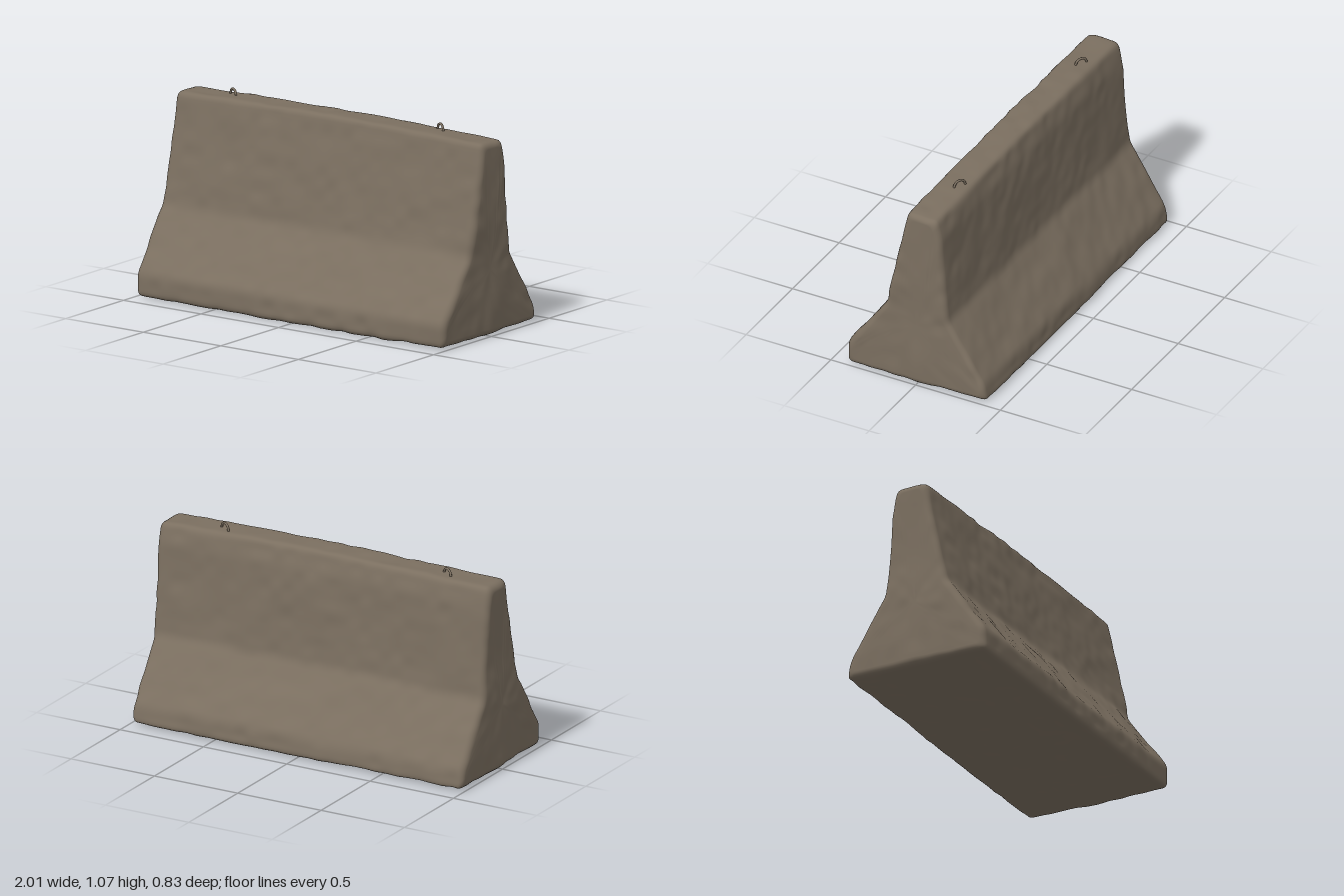
import * as THREE from 'three';
import { mergeVertices } from 'three/addons/utils/BufferGeometryUtils.js';

// Barrier cross-section as [z, y], from the front foot over the top to the back foot
const PROFILE = [
  [0.412, 0.012], [0.408, 0.135], [0.182, 0.46], [0.158, 0.57], [0.062, 1.041],
  [-0.112, 1.041], [-0.14, 0.93], [-0.168, 0.6], [-0.184, 0.44], [-0.395, 0.115], [-0.412, 0.012],
].map(([z, y]) => new THREE.Vector2(z, y));

// Smooth seeded value noise, -1..1
function hash(x, y, z) {
  const s = Math.sin(x * 127.1 + y * 311.7 + z * 74.7) * 43758.5453;
  return (s - Math.floor(s)) * 2 - 1;
}
function noise(x, y, z) {
  const c = [x, y, z].map(Math.floor);
  const f = [x - c[0], y - c[1], z - c[2]].map((t) => t * t * (3 - 2 * t));
  let sum = 0;
  for (let k = 0; k < 8; k++) {
    const b = [k & 1, (k >> 1) & 1, k >> 2];
    const w = b.reduce((p, bit, i) => p * (bit ? f[i] : 1 - f[i]), 1);
    sum += w * hash(c[0] + b[0], c[1] + b[1], c[2] + b[2]);
  }
  return sum;
}

// Profile moved inwards by d, with rounded corners and evenly divided edges
function section(d) {
  const n = PROFILE.length;
  const at = (list, i) => list[(i + n) % n];
  const inward = PROFILE.map((p, i) => {
    const e = at(PROFILE, i + 1).clone().sub(p).normalize();
    return new THREE.Vector2(-e.y, e.x);
  });
  const poly = PROFILE.map((p, i) => {
    const a = at(inward, i - 1), b = inward[i];
    return p.clone().addScaledVector(a.clone().add(b), d / (1 + a.dot(b)));
  });
  const towards = (p, q) => {
    const len = p.distanceTo(q);
    return p.clone().lerp(q, Math.min(0.03, len * 0.4) / len);
  };
  const points = [];
  for (let i = 0; i < n; i++) {
    const p = poly[i], next = at(poly, i + 1);
    const start = towards(p, at(poly, i - 1)), end = towards(p, next);
    points.push(...new THREE.QuadraticBezierCurve(start, p, end).getPoints(4));
    const stop = towards(next, p);
    const steps = Math.ceil(PROFILE[i].distanceTo(at(PROFILE, i + 1)) / 0.03);
    for (let k = 1; k < steps; k++) points.push(end.clone().lerp(stop, k / steps));
  }
  return points;
}

// Closed loft: end cap, rounded end edge, long body, and the same mirrored
function barrierGeometry() {
  const R = 0.035, HALF = 0.995, LONG = 90;
  const center = new THREE.Vector2(0, 0.36);
  const end = [];
  for (let k = 0; k <= 8; k++) end.push({ x: HALF, inset: R, scale: k / 8 });
  for (let k = 1; k <= 5; k++) {
    const a = (k / 5) * Math.PI / 2;
    end.push({ x: HALF - R * (1 - Math.cos(a)), inset: R * (1 - Math.sin(a)), scale: 1 });
  }
  const rings = end.map((r) => ({ ...r, x: -r.x }));
  for (let k = 1; k < LONG; k++) {
    rings.push({ x: (HALF - R) * (2 * k / LONG - 1), inset: 0, scale: 1 });
  }
  rings.push(...end.reverse());

  const positions = [], index = [];
  let count = 0;
  rings.forEach(({ x, inset, scale }, i) => {
    const pts = section(inset);
    count = pts.length;
    pts.forEach((p, j) => {
      const q = center.clone().lerp(p, scale);
      positions.push(x, q.y, q.x);
      if (i === rings.length - 1) return;
      const a = i * count + j, b = i * count + (j + 1) % count;
      index.push(a, a + count, b + count, a, b + count, b);
    });
  });
  let geo = new THREE.BufferGeometry();
  geo.setAttribute('position', new THREE.Float32BufferAttribute(positions, 3));
  geo.setIndex(index);
  geo = mergeVertices(geo, 1e-5);
  geo.computeVertexNormals();

  // Weathering: soft lumps, small pits and a slightly crowned top
  const pos = geo.attributes.position, nor = geo.attributes.normal;
  const p = new THREE.Vector3(), dir = new THREE.Vector3();
  for (let i = 0; i < pos.count; i++) {
    p.fromBufferAttribute(pos, i);
    dir.fromBufferAttribute(nor, i);
    const lump = 0.006 * noise(p.x * 5 + 9, p.y * 5 + 3, p.z * 5 + 7)
      + 0.004 * noise(p.x * 15, p.y * 15 + 20, p.z * 15 + 40);
    const crown = p.y * 0.008 * Math.cos(p.x * 2.6);
    p.addScaledVector(dir, lump);
    p.y = Math.max(0, p.y + crown);
    pos.setXYZ(i, p.x, p.y, p.z);
  }
  geo.computeVertexNormals();
  return geo;
}

export function createModel() {
  const model = new THREE.Group();
  model.name = 'concreteBarrier';
  const concrete = new THREE.MeshStandardMaterial({ color: 0x7b6f60 });
  concrete.name = 'weathered concrete';

  const body = new THREE.Mesh(barrierGeometry(), concrete);
  body.name = 'barrierBody';
  model.add(body);

  // Two lifting loops set at an angle in the top
  const loopPath = new THREE.CatmullRomCurve3([
    [-0.034, -0.03], [-0.034, 0.005], [-0.024, 0.027], [0, 0.036],
    [0.024, 0.027], [0.034, 0.005], [0.034, -0.03],
  ].map(([x, y]) => new THREE.Vector3(x, y, 0)));
  const loopGeometry = new THREE.TubeGeometry(loopPath, 28, 0.0065, 8);
  [['rightLiftingLoop', -0.697, 1.032, -0.045], ['leftLiftingLoop', 0.63, 1.036, -0.057]].forEach(
    ([name, x, y, z]) => {
      const loop = new THREE.Mesh(loopGeometry, concrete);
      loop.name = name;
      loop.position.set(x, y, z);
      loop.rotation.y = -0.5;
      model.add(loop);
    });
  return model;
}
